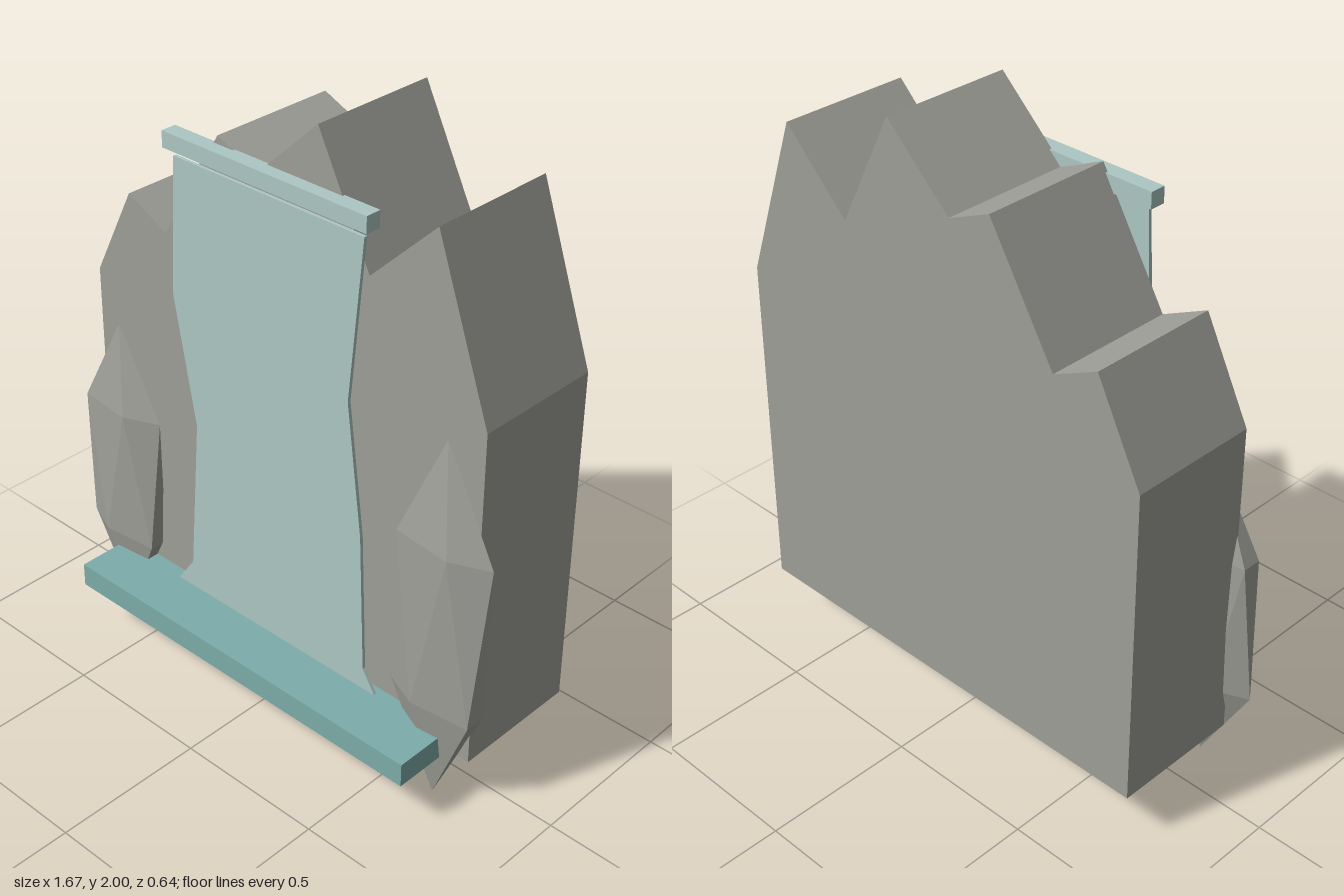
import * as THREE from 'three';
import { ConvexGeometry } from 'three/addons/geometries/ConvexGeometry.js';

const mat = (name, color) => {
  const m = new THREE.MeshStandardMaterial({ color, side: THREE.DoubleSide, flatShading: true });
  m.name = name;
  return m;
};

// Extrudes an outline between two depths
function slab(points, z0, z1) {
  const shape = new THREE.Shape(points.map(([x, y]) => new THREE.Vector2(x, y)));
  return new THREE.ExtrudeGeometry(shape, { depth: z1 - z0, bevelEnabled: false }).translate(0, 0, z0);
}

// Removes the downward faces so the block is open underneath
function openBottom(geometry) {
  const p = geometry.attributes.position, n = geometry.attributes.normal, kept = [];
  for (let i = 0; i < p.count; i += 3) {
    if (n.getY(i) < -0.9) continue;
    for (let j = i; j < i + 3; j++) kept.push(p.getX(j), p.getY(j), p.getZ(j));
  }
  const open = new THREE.BufferGeometry();
  open.setAttribute('position', new THREE.Float32BufferAttribute(kept, 3));
  open.computeVertexNormals();
  return open;
}

// Box given by its lower and upper corners
function box([x0, y0, z0], [x1, y1, z1]) {
  return new THREE.BoxGeometry(x1 - x0, y1 - y0, z1 - z0)
    .translate((x0 + x1) / 2, (y0 + y1) / 2, (z0 + z1) / 2);
}

// Twenty-sided boulder with its points up and down, flattened in depth
function boulder(x, yBottom, yTop, rx, rz) {
  const pts = [new THREE.Vector3(0, 1, 0), new THREE.Vector3(0, -1, 0)];
  const ring = 2 / Math.sqrt(5), h = 1 / Math.sqrt(5);
  for (let i = 0; i < 5; i++) {
    const a = (i * Math.PI * 2) / 5;
    pts.push(new THREE.Vector3(ring * Math.cos(a), h, ring * Math.sin(a)));
    pts.push(new THREE.Vector3(-ring * Math.cos(a), -h, ring * Math.sin(a)));
  }
  return new ConvexGeometry(pts)
    .scale(rx, (yTop - yBottom) / 2, rz)
    .translate(x, (yTop + yBottom) / 2, 0.13);
}

export function createModel() {
  const group = new THREE.Group();
  const rock = mat('rock grey', 0xa0a09a);
  const water = mat('falling water', 0xadc8c4);
  const poolWater = mat('pool water', 0x7daeab);
  const add = (name, geometry, material) => {
    const mesh = new THREE.Mesh(geometry, material);
    mesh.name = name;
    group.add(mesh);
  };

  // Jagged cliff
  add('cliff', openBottom(slab([
    [-0.76, 0.18], [0.77, 0.18], [0.77, 1.315], [0.58, 1.85], [0.35, 1.625], [0.16, 2],
    [-0.07, 1.785], [-0.22, 1.85], [-0.45, 1.47], [-0.605, 1.545], [-0.76, 1.24],
  ], -0.32, 0.113)), rock);

  // Water sheet, lip and pool
  add('waterSheet', slab([
    [-0.415, 0.25], [0.435, 0.25], [0.385, 0.33], [0.365, 0.8], [0.31, 1.23], [0.36, 1.755],
    [-0.365, 1.755], [-0.39, 1.31], [-0.305, 0.88], [-0.345, 0.35],
  ], 0.137, 0.148), water);
  add('waterLip', box([-0.4, 1.772, 0.105], [0.375, 1.824, 0.157]), water);
  add('pool', box([-0.685, 0.175, -0.11], [0.692, 0.255, 0.32]), poolWater);

  // Boulders either side
  add('rightBoulder', boulder(-0.665, 0.02, 1.085, 0.19, 0.06), rock);
  add('leftBoulder', boulder(0.655, 0.005, 1.255, 0.198, 0.063), rock);

  // Rest the lowest point on the ground
  group.position.y = -0.005;
  return group;
}
